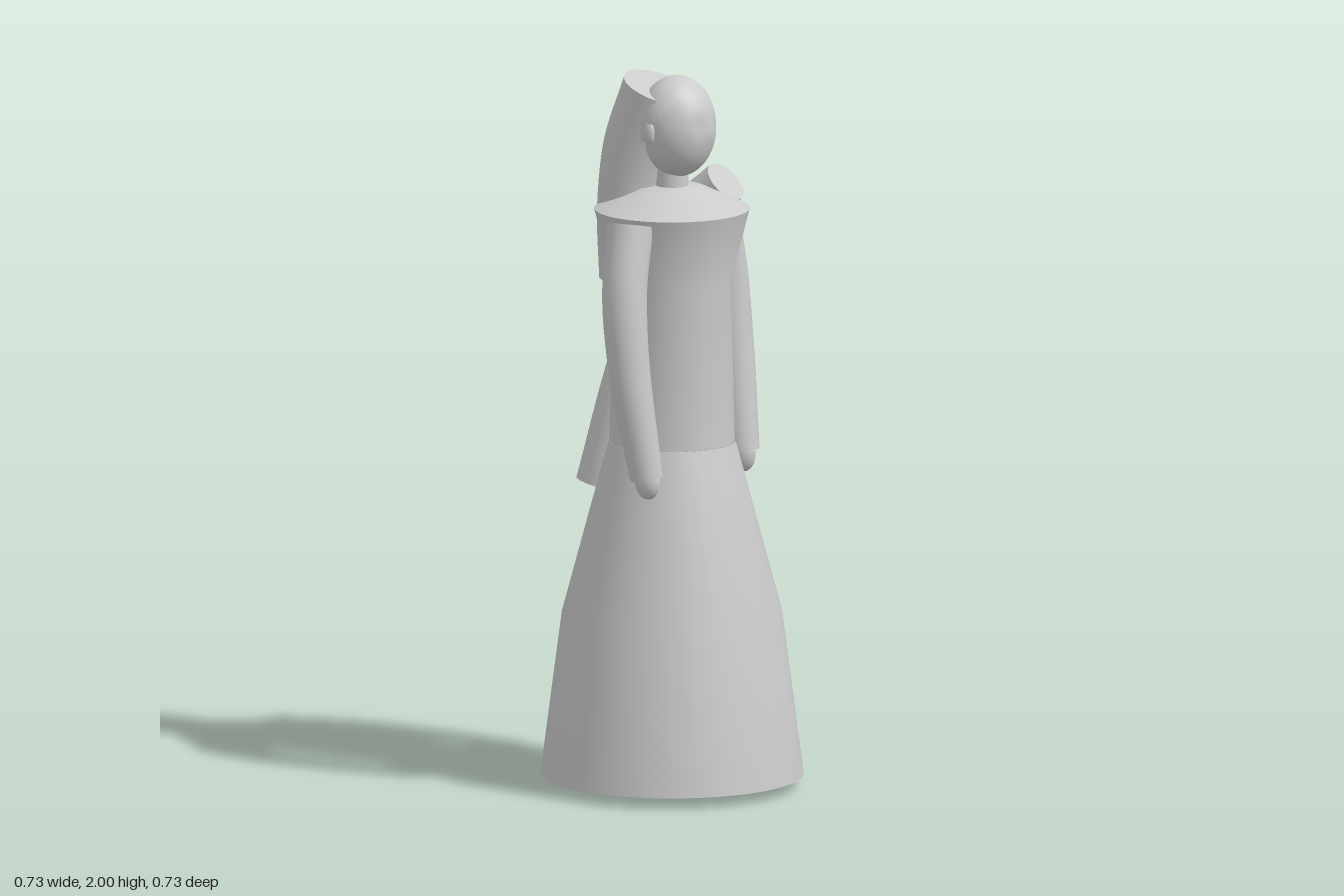
import * as THREE from 'three';

const grey = new THREE.MeshStandardMaterial({ color: 0xcccccc, side: THREE.DoubleSide });

function add(group, name, geometry, position = [0, 0, 0], scale = [1, 1, 1]) {
  const mesh = new THREE.Mesh(geometry, grey);
  mesh.name = name;
  mesh.position.set(...position);
  mesh.scale.set(...scale);
  group.add(mesh);
  return mesh;
}

const lathe = (points) =>
  new THREE.LatheGeometry(points.map(([r, y]) => new THREE.Vector2(r, y)), 32);

// Round sweep along a curve, with changing radius and flat closed ends
function sweep(points, radii, rings = 20, sides = 20) {
  const curve = new THREE.CatmullRomCurve3(points.map((p) => new THREE.Vector3(...p)));
  const { normals, binormals } = curve.computeFrenetFrames(rings, false);
  const pos = [], index = [];
  const ring = (j) => {
    const u = j / rings, c = curve.getPointAt(u);
    const f = u * (radii.length - 1), k = Math.min(Math.floor(f), radii.length - 2);
    const r = THREE.MathUtils.lerp(radii[k], radii[k + 1], f - k);
    for (let i = 0; i < sides; i++) {
      const a = (i / sides) * Math.PI * 2;
      const p = c.clone().addScaledVector(normals[j], r * Math.cos(a))
        .addScaledVector(binormals[j], r * Math.sin(a));
      pos.push(p.x, p.y, p.z);
    }
    return c;
  };
  for (let j = 0; j <= rings; j++) ring(j);
  for (let j = 0; j < rings; j++) {
    for (let i = 0; i < sides; i++) {
      const a = j * sides + i, b = j * sides + ((i + 1) % sides);
      index.push(a, b, a + sides, b, b + sides, a + sides);
    }
  }
  for (const j of [0, rings]) {
    const start = pos.length / 3, c = ring(j), centre = start + sides;
    pos.push(c.x, c.y, c.z);
    for (let i = 0; i < sides; i++) {
      const a = start + i, b = start + ((i + 1) % sides);
      index.push(centre, j ? a : b, j ? b : a);
    }
  }
  const g = new THREE.BufferGeometry();
  g.setAttribute('position', new THREE.Float32BufferAttribute(pos, 3));
  g.setIndex(index);
  g.computeVertexNormals();
  return g;
}

// Head with shallow eye hollows and a slight nose
function headGeometry() {
  const g = new THREE.SphereGeometry(1, 40, 30);
  const p = g.attributes.position;
  const bump = (y, z, y0, z0, s) => Math.exp(-((y - y0) ** 2 + (z - z0) ** 2) / (s * s));
  for (let i = 0; i < p.count; i++) {
    const x = p.getX(i), y = p.getY(i), z = p.getZ(i);
    if (x < 0.3) continue;
    const hollow = bump(y, z, 0.1, 0.36, 0.17) + bump(y, z, 0.1, -0.36, 0.17);
    p.setX(i, x - 0.05 * hollow + 0.03 * bump(y, z, -0.08, 0, 0.14));
  }
  g.computeVertexNormals();
  return g;
}

// Hair shell: whole quads of a sphere kept above a slanted hairline
function hairGeometry() {
  const g = new THREE.SphereGeometry(1, 32, 24);
  const p = g.attributes.position, src = g.index.array, kept = [];
  const w = 33;
  for (let k = 0; k < src.length; k += 3) {
    const a = Math.min(src[k], src[k + 1], src[k + 2]);
    const row = Math.floor(a / w), col = Math.min(a % w, 31);
    const theta = ((row + 0.5) / 24) * Math.PI, phi = ((col + 0.5) / 32) * Math.PI * 2;
    const x = -Math.cos(phi) * Math.sin(theta), y = Math.cos(theta);
    if (y > 0.15 + 0.85 * x) kept.push(src[k], src[k + 1], src[k + 2]);
  }
  g.setIndex(kept);
  return g;
}

export function createModel() {
  const model = new THREE.Group();
  model.name = 'robedFigure';

  // Robe
  add(model, 'skirt', lathe([[0.365, 0.03], [0.305, 0.49], [0.176, 0.97]]));
  add(model, 'skirtBase', lathe([[0, 0.03], [0.365, 0.03]]));
  add(model, 'torso', lathe([[0.174, 0.97], [0.163, 1.42], [0.216, 1.625]]));
  add(model, 'shoulders', lathe([[0.216, 1.625], [0.09, 1.685], [0, 1.695]]));

  // Head
  add(model, 'neck', new THREE.CylinderGeometry(0.044, 0.048, 0.12, 24), [0, 1.69, 0]);
  add(model, 'head', headGeometry(), [0.02, 1.857, 0], [0.107, 0.14, 0.105]);
  add(model, 'hair', hairGeometry(), [0.015, 1.859, 0], [0.108, 0.141, 0.112]);

  // Hanging hair or hood at the back of the head
  add(model, 'backHair', sweep(
    [[-0.04, 1.96, 0], [-0.105, 1.79, 0], [-0.134, 1.61, 0], [-0.147, 1.41, 0]],
    [0.105, 0.102, 0.095, 0.078]));

  // Drape over one shoulder and down the back
  add(model, 'shoulderDrape', sweep(
    [[0.045, 1.67, -0.205], [-0.06, 1.57, -0.2], [-0.135, 1.4, -0.178],
      [-0.2, 1.13, -0.135], [-0.255, 0.803, -0.095]],
    [0.064, 0.07, 0.08, 0.092, 0.104], 24));

  // Paired parts
  for (const [side, s] of [['left', 1], ['right', -1]]) {
    add(model, side + 'Arm', sweep(
      [[0, 1.61, 0.212 * s], [0.008, 1.43, 0.255 * s], [0.03, 1.21, 0.265 * s],
        [0.075, 0.91, 0.247 * s]],
      [0.064, 0.062, 0.056, 0.046]));
    const hand = add(model, side + 'Hand', new THREE.SphereGeometry(1, 20, 14),
      [0.075, 0.905, 0.245 * s], [0.038, 0.055, 0.03]);
    hand.rotation.z = 0.12;
    add(model, side + 'Ear', new THREE.SphereGeometry(1, 16, 12),
      [-0.008, 1.85, 0.103 * s], [0.018, 0.032, 0.011]);
    add(model, side + 'Foot', new THREE.SphereGeometry(1, 24, 16),
      [0.1, 0.04, 0.097 * s], [0.135, 0.04, 0.052]);
  }
  return model;
}
